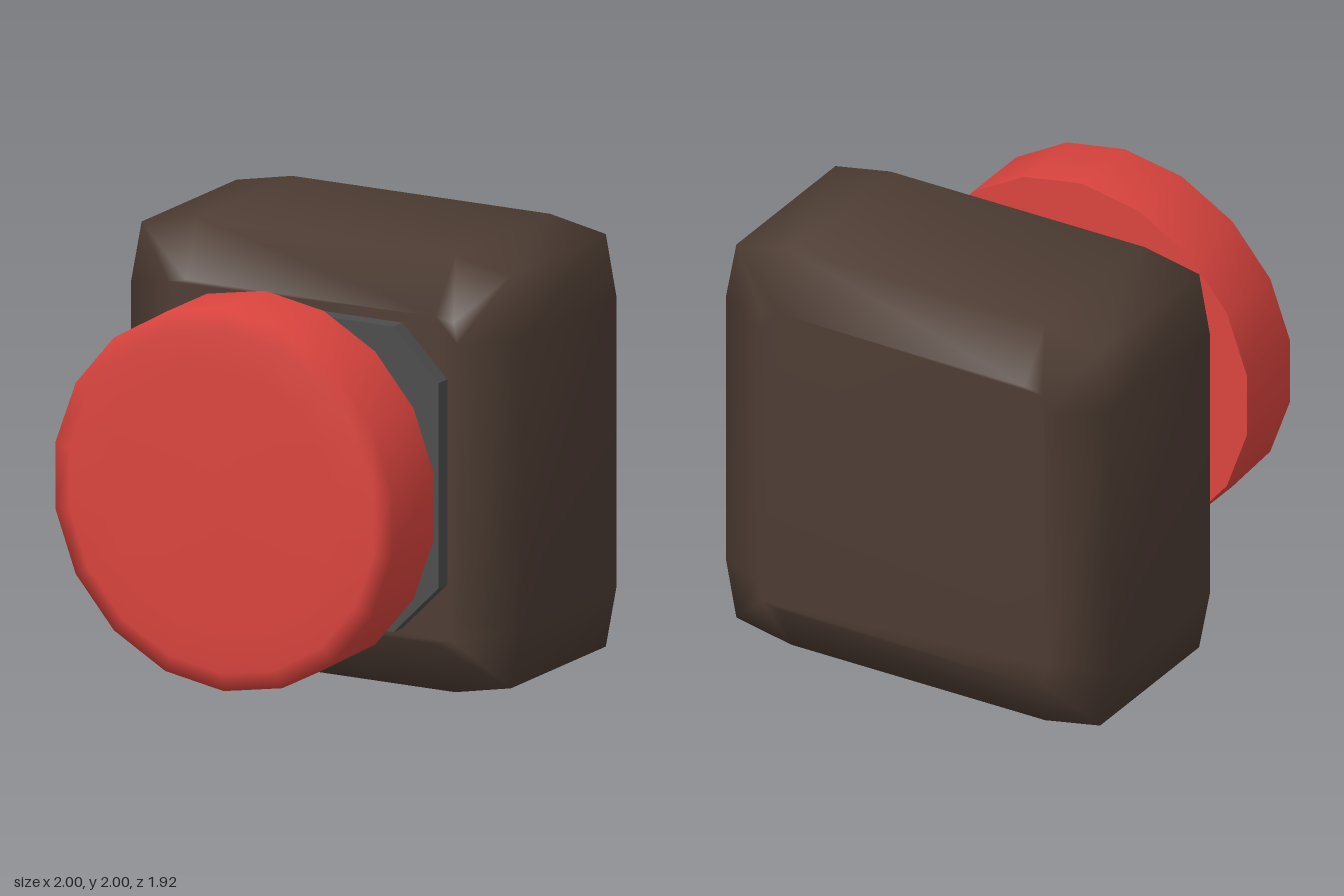
import * as THREE from 'three';
import { mergeVertices } from 'three/addons/utils/BufferGeometryUtils.js';

const material = (color) => new THREE.MeshStandardMaterial({ color });

// Four-fold symmetric outline from the points of its upper right corner
function cornerShape(corner) {
  const pts = [];
  for (let i = 0; i < 4; i++) {
    for (const [x, y] of corner) {
      pts.push(new THREE.Vector2(x, y).rotateAround(new THREE.Vector2(), i * Math.PI / 2));
    }
  }
  return new THREE.Shape(pts);
}

// Shares vertices so the shading runs smoothly over every edge
function smooth(geometry) {
  geometry.deleteAttribute('uv');
  geometry.deleteAttribute('normal');
  const merged = mergeVertices(geometry, 1e-4);
  merged.computeVertexNormals();
  return merged;
}

export function createModel() {
  const group = new THREE.Group();
  const brown = material(0x4d3c33);
  const grey = material(0x4d4d4d);
  const red = material(0xdb443e);

  const add = (name, geometry, mat, parent = group) => {
    const mesh = new THREE.Mesh(geometry, mat);
    mesh.name = name;
    parent.add(mesh);
    return mesh;
  };

  // Chunky bevelled housing
  const housing = new THREE.ExtrudeGeometry(
    cornerShape([[0.75, 0.636], [0.7315, 0.7315], [0.636, 0.75]]),
    { depth: 0.84, bevelEnabled: true, bevelSegments: 1, bevelSize: 0.25, bevelThickness: 0.14 }
  );
  housing.translate(0, 0, -0.82);
  add('housing', smooth(housing), brown);

  // Thin mounting plate with cut corners
  const plate = new THREE.ExtrudeGeometry(
    cornerShape([[0.7, 0.47], [0.47, 0.7]]),
    { depth: 0.1, bevelEnabled: false }
  );
  plate.translate(0, 0, 0.14);
  add('mountingPlate', plate, grey);

  // Stem between plate and button
  const stem = new THREE.CylinderGeometry(0.235, 0.235, 0.36, 12);
  stem.rotateX(Math.PI / 2).translate(0, 0, 0.4);
  add('stem', stem, grey);

  // Push button: side and slightly domed face, then the flat back
  const button = new THREE.Group();
  button.name = 'pushButton';
  group.add(button);
  const profile = [[0.875, 0.56], [0.875, 0.928], [0.79, 0.948], [0.6, 0.957], [0, 0.96]]
    .map(([r, z]) => new THREE.Vector2(r, z));
  add('buttonFace', new THREE.LatheGeometry(profile, 18).rotateX(Math.PI / 2), red, button);
  const back = new THREE.CircleGeometry(0.875, 18);
  back.rotateZ(Math.PI / 2).rotateY(Math.PI).translate(0, 0, 0.56);
  add('buttonBack', back, red, button);

  group.position.y = 1;
  return group;
}
